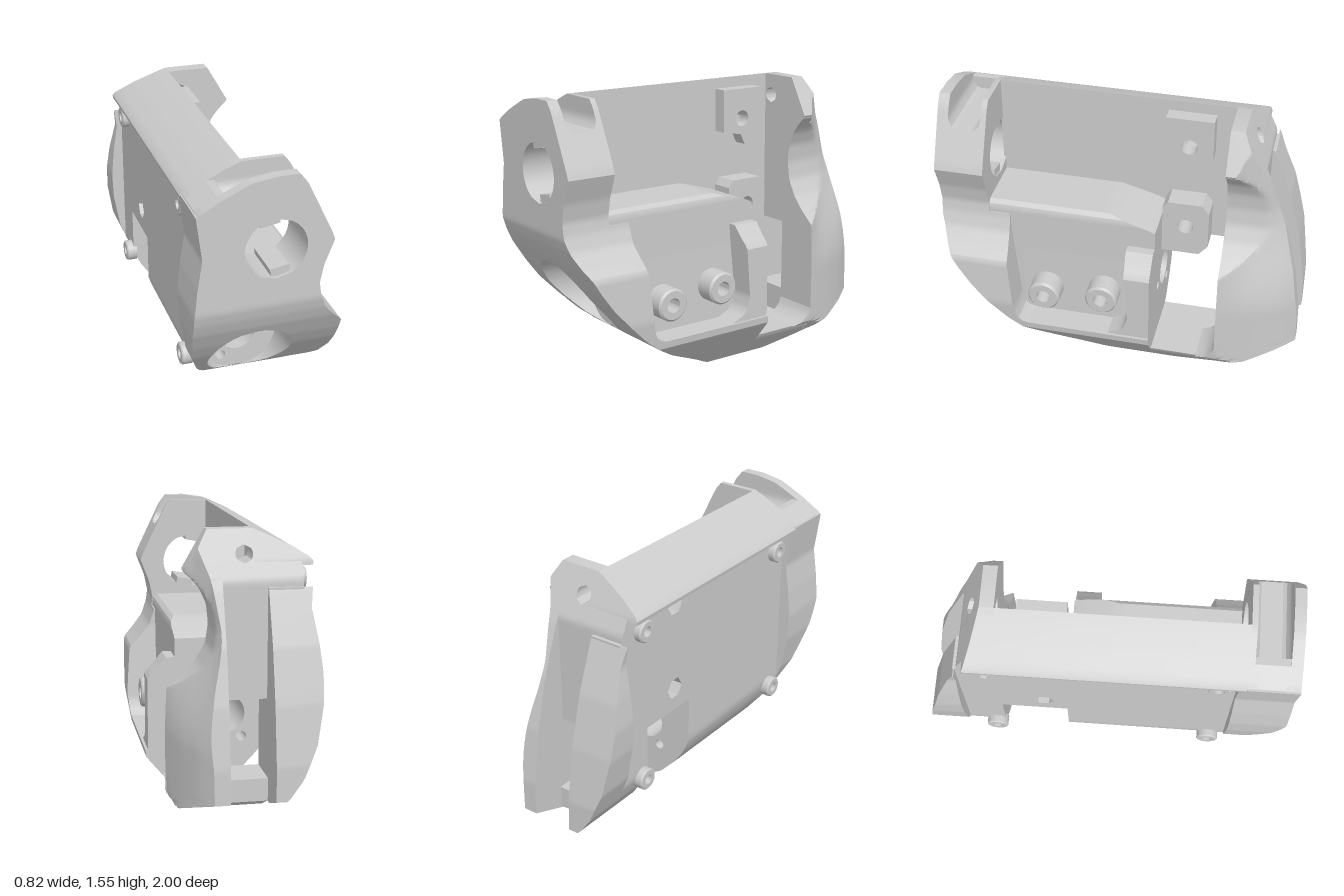
import * as THREE from 'three';
import { toCreasedNormals } from 'three/addons/utils/BufferGeometryUtils.js';

// piecewise linear curve through [y, value] points
const curve = (...p) => y => {
  let i = 1;
  while (i < p.length - 1 && y > p[i][0]) i++;
  const [a, b] = [p[i - 1], p[i]];
  const t = Math.min(1, Math.max(0, (y - a[0]) / (b[0] - a[0])));
  return a[1] + (b[1] - a[1]) * t;
};
const asFn = v => (typeof v === 'function' ? v : () => v);

// outer envelope of the housing, all by height
const rightX = curve([0, 0.2], [0.23, 0.39], [0.4, 0.41], [0.67, 0.39], [0.73, 0.33], [0.8, 0.27], [0.88, 0.24],
  [0.95, 0.23], [1.05, 0.25], [1.14, 0.285], [1.18, 0.3], [1.22, 0.285], [1.5, 0.15], [1.55, 0.11]);
const leftX = curve([0, 0.2], [0.025, 0.1], [0.06, 0], [0.15, -0.15], [0.24, -0.235], [0.33, -0.3], [0.5, -0.37],
  [0.7, -0.405], [0.85, -0.41], [1.0, -0.395], [1.16, -0.37], [1.39, -0.4], [1.46, -0.28], [1.52, -0.15], [1.54, -0.1], [1.55, 0]);
const flatX = y => Math.max(-0.34, leftX(y));
const frontZ = curve([0, 0.08], [0.06, 0.2], [0.15, 0.4], [0.21, 0.5], [0.29, 0.61], [0.4, 0.72], [0.5, 0.81],
  [0.6, 0.88], [0.72, 0.95], [0.79, 0.98], [0.86, 1], [1.55, 1]);
const backZ = curve([0, -0.32], [0.05, -0.52], [0.11, -0.7], [0.22, -1], [0.4, -0.995], [0.7, -0.95],
  [0.98, -0.88], [1.25, -0.78], [1.54, -0.64]);
// rear block with its waist scoop
const rearX = curve([0, 0.2], [0.15, 0.33], [0.69, 0.36], [0.74, 0.3], [0.79, 0.24], [0.86, 0.175], [0.95, 0.125],
  [1.05, 0.11], [1.15, 0.12], [1.23, 0.155], [1.29, 0.205], [1.33, 0.25], [1.54, 0.13]);
// shelf beside the inner wall, with a softened edge
const shelfX = curve([0, 0.23], [0.945, 0.23], [0.97, 0.2]);

// taper of the tail on +x by depth, stronger towards the top
const lowerTaper = curve([-1, 0.15], [-0.9, 0.215], [-0.75, 0.28], [-0.57, 0.335]);
const upperTaper = curve([-0.9, 0.08], [-0.85, 0.09], [-0.75, 0.13], [-0.66, 0.2], [-0.57, 0.31]);
const tail = (x, y, z) => {
  const t = THREE.MathUtils.smoothstep(y, 0.45, 1.1);
  return Math.min(x, lowerTaper(z) * (1 - t) + upperTaper(z) * t);
};

// solid between left/right and back/front bounds, each a number or a function of height
function loft(y0, y1, xl, xr, zb, zf, trim = x => x) {
  [xl, xr, zb, zf] = [xl, xr, zb, zf].map(asFn);
  const rows = Math.max(2, Math.ceil((y1 - y0) / 0.02)), n = 10, ring = 2 * n + 2;
  const pos = [], idx = [];
  for (let i = 0; i <= rows; i++) {
    const y = y0 + (y1 - y0) * i / rows, b = zb(y), f = Math.max(b, zf(y));
    for (let k = 0; k < ring; k++) {
      const onRight = k <= n, t = onRight ? k / n : (ring - 1 - k) / n, z = f + (b - f) * t;
      const x = onRight ? Math.max(xr(y), xl(y)) : xl(y);
      pos.push(trim(x, y, z), y, z);
    }
  }
  const quad = (a, b, c, d) => idx.push(a, b, c, a, c, d);
  for (let i = 0; i < rows; i++) for (let k = 0; k < ring; k++) {
    const j = (k + 1) % ring, o = i * ring;
    quad(o + k, o + j, o + ring + j, o + ring + k);
  }
  const top = rows * ring;
  for (let k = 0; k < n; k++) {
    const l = ring - 1 - k;
    quad(top + k, top + k + 1, top + l - 1, top + l);
    quad(l, l - 1, k + 1, k);
  }
  const g = new THREE.BufferGeometry();
  g.setAttribute('position', new THREE.Float32BufferAttribute(pos, 3));
  g.setIndex(idx);
  return toCreasedNormals(g, 0.45);
}

const polygon = (cx, cy, r, sides) => {
  const p = new THREE.Path();
  for (let i = 0; i < sides; i++) {
    const a = i / sides * Math.PI * 2;
    p[i ? 'lineTo' : 'moveTo'](cx + r * Math.cos(a), cy + r * Math.sin(a));
  }
  return p.closePath();
};

// outline extruded by depth, with holes [x, y, radius, sides]
function drilled(points, holes, depth) {
  const s = new THREE.Shape(points.map(p => new THREE.Vector2(...p)));
  s.holes = holes.map(h => polygon(...h));
  return toCreasedNormals(new THREE.ExtrudeGeometry(s, { depth, bevelEnabled: false }), 0.45);
}

// side outline in [z, y], extruded from x0 to x1, with holes [z, y, radius, sides]
const sidePlate = (points, holes, x0, x1) =>
  drilled(points.map(([z, y]) => [-z, y]), holes.map(([z, ...h]) => [-z, ...h]), x1 - x0)
    .rotateY(Math.PI / 2).translate(x0, 0, 0);

// hollow round boss along x, pointing to direction dir
function boss(r, hole, length, x, y, z, dir) {
  const b = r * 0.12;
  const pts = [[r, 0], [r, length - b], [r - b, length], [hole, length], [hole, length * 0.3], [0, length * 0.3]];
  const g = new THREE.LatheGeometry(pts.map(p => new THREE.Vector2(...p)), 32);
  return toCreasedNormals(g, 0.6).rotateZ(-dir * Math.PI / 2).translate(x, y, z);
}

export function createModel() {
  const model = new THREE.Group();
  const mat = new THREE.MeshStandardMaterial({ color: 0xcccccc, side: THREE.DoubleSide });
  const add = (name, ...geos) => {
    const part = new THREE.Group();
    part.name = name;
    geos.forEach(g => part.add(new THREE.Mesh(g, mat)));
    model.add(part);
  };
  const arc = (cx, cy, r, side) => y => cx + side * Math.sqrt(Math.max(0, r * r - (y - cy) ** 2));
  const recess = s => arc(-0.05, 0.46, 0.22, s), socket = s => arc(0, 1.17, 0.16, s), rearHole = s => arc(-0.05, 1.42, 0.045, s);

  // lower body, drilled lengthwise by the main bore and three small holes
  const coreFront = y => Math.min(0.55, frontZ(y));
  const coreBack = curve([0, -0.2], [0.9, -0.2], [0.97, 0.05]);
  const coreOutline = [[0.23, 0.68], [0.245, 0.27]];
  for (let i = 0; i <= 10; i++) coreOutline.push([flatX(0.27 + 0.041 * i), 0.27 + 0.041 * i]);
  coreOutline.reverse();
  add('lowerBody',
    loft(0, 0.27, leftX, rightX, -0.2, coreFront),
    drilled(coreOutline, [[-0.05, 0.46, 0.108, 40], [-0.12, 0.61, 0.028, 16], [0.12, 0.45, 0.028, 16], [-0.14, 0.325, 0.028, 16]], 0.75)
      .translate(0, 0, -0.2),
    loft(0.68, 0.97, flatX, shelfX, coreBack, 0.55));

  // curved nose around the round recess
  add('nose',
    loft(0.24, 0.68, flatX, recess(-1), 0.545, y => Math.min(0.69, frontZ(y))),
    loft(0.373, 0.68, leftX, recess(-1), 0.69, frontZ),
    loft(0.24, 0.68, recess(1), 0.23, 0.545, frontZ),
    loft(0.68, 0.97, flatX, shelfX, 0.55, 0.69),
    loft(0.68, 0.97, leftX, shelfX, 0.69, 0.73),
    loft(0.68, 0.97, leftX, rightX, 0.73, frontZ));

  // raised rim that frames the side pocket
  const pocketFront = curve([0.26, 0.45], [0.275, 0.52], [0.3, 0.55], [0.36, 0.57], [0.8, 0.61]);
  const pocketBack = curve([0.27, 0.05], [0.29, -0.02], [0.33, -0.06], [0.4, -0.08], [0.78, -0.05]);
  add('pocketRim',
    loft(0.24, 0.68, 0.225, rightX, pocketFront, frontZ),
    loft(0.68, 0.9, 0.225, rightX, pocketFront, 0.73),
    loft(0.26, 0.79, 0.22, y => Math.min(0.38, rightX(y)), -0.2, pocketBack));
  add('pocketBosses', boss(0.09, 0.04, 0.13, 0.22, 0.44, 0.41, 1), boss(0.09, 0.04, 0.13, 0.22, 0.47, 0.08, 1));

  // upright front wall with keyed socket
  add('frontWall',
    loft(0.97, 1.01, leftX, rightX, 0.73, 1),
    loft(1.01, 1.33, leftX, socket(-1), 0.73, 1),
    loft(1.01, 1.33, socket(1), rightX, 0.73, 1),
    loft(1.33, 1.39, leftX, rightX, 0.73, 1));
  const key = (x, y, tilt) => new THREE.BoxGeometry(0.1, 0.06, 0.24).rotateZ(tilt).translate(x, y, 0.86);
  add('socketKeys', key(-0.03, 1.32, 0.18), key(0.03, 1.03, 0.18));

  // slot across the top of the front wall
  add('frontLip', loft(1.38, 1.55, leftX, rightX, curve([1.38, 0.88], [1.4, 0.92], [1.44, 0.94]), 1));
  add('rearLip', loft(1.38, 1.54, leftX, rightX, 0.73, curve([1.38, 0.83], [1.4, 0.78], [1.44, 0.76])));
  add('slotStep', loft(1.38, 1.46, leftX, -0.24, 0.74, 0.96));

  // inner side wall, its roof and the two drilled lugs
  const drill = [[-0.33, 1.31], [-0.33, 0.82]];
  add('sideWall',
    sidePlate([[0.56, 0.88], [0.56, 1.38], [-0.57, 1.38], [-0.57, 0.69], [-0.2, 0.69], [-0.2, 0.88]],
      drill.map(d => [...d, 0.06, 6]), -0.34, -0.1),
    loft(0.95, 1.37, flatX, -0.1, 0.55, 0.69),
    loft(0.95, 1.37, leftX, -0.1, 0.69, 0.74));
  add('roof', loft(1.36, 1.54, leftX, -0.1, y => Math.max(-0.72, backZ(y)), 0.74));
  add('upperLug', sidePlate([[-0.2, 1.24], [-0.2, 1.48], [-0.46, 1.48], [-0.46, 1.24], [-0.42, 1.18], [-0.35, 1.16], [-0.32, 1.22]],
    [[...drill[0], 0.045, 24]], -0.1, -0.02));
  add('lowerLug', sidePlate([[-0.2, 0.64], [-0.2, 0.93], [-0.23, 0.97], [-0.42, 0.97], [-0.46, 0.92], [-0.46, 0.7], [-0.41, 0.64]],
    [[...drill[1], 0.045, 24]], -0.1, 0.03));

  // strip below the open window, with rounded rear corner
  add('bottomStrip', loft(0, 0.13, leftX, y => Math.min(rightX(y), 0.3), y => Math.max(-0.6, backZ(y)), -0.2));
  add('windowCorner', loft(0.13, 0.24, 0.07, rearX, -0.58, curve([0.13, -0.46], [0.15, -0.51], [0.19, -0.55], [0.24, -0.57]), tail));

  // rear block with a drilled top, and two tail fins with a channel between them
  const blockBack = y => Math.max(-0.76, backZ(y));
  add('rearBlock',
    loft(0.69, 1.375, flatX, rearX, blockBack, -0.565, tail),
    loft(1.375, 1.465, flatX, rearHole(-1), blockBack, -0.565),
    loft(1.375, 1.465, rearHole(1), rearX, blockBack, -0.565, tail),
    loft(1.465, 1.54, flatX, rearX, blockBack, -0.565, tail));
  add('rightFin', loft(0.08, 1.54, 0.07, rearX, y => Math.min(-0.57, backZ(y)), -0.565, tail));
  add('leftFin',
    loft(0.16, 1.26, leftX, -0.16, y => Math.min(-0.77, backZ(y)), -0.77),
    loft(0.2, 1.26, flatX, -0.16, -0.78, -0.565));
  add('channelFloor', loft(0.08, 0.28, leftX, 0.08, y => Math.max(-0.8, backZ(y)), -0.57));

  // screws of the mounting face
  add('sideScrews', ...[0.6, -0.61].flatMap(z => [0.41, 1.28].map(y => boss(0.06, 0.028, 0.06, -0.32, y, z, -1))));
  return model;
}
